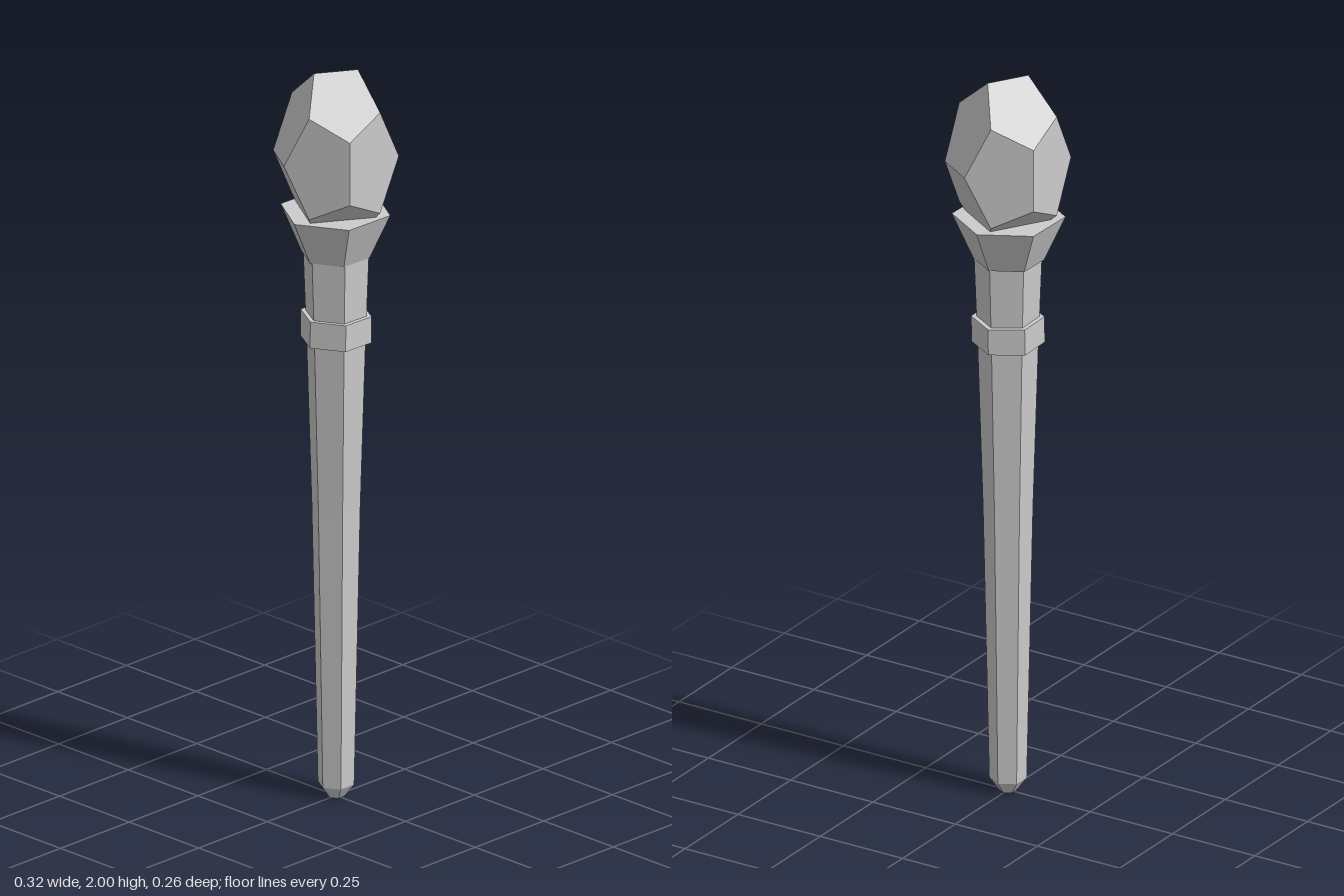
import * as THREE from 'three';

const material = new THREE.MeshStandardMaterial({ color: 0xcccccc, flatShading: true });

// Six-sided closed turned part with corners on +x and -x; profile runs bottom to top
function hexPart(name, profile) {
  const points = profile.map(([r, y]) => new THREE.Vector2(r, y));
  const mesh = new THREE.Mesh(new THREE.LatheGeometry(points, 6, Math.PI / 2), material);
  mesh.name = name;
  return mesh;
}

export function createModel() {
  const group = new THREE.Group();
  group.name = 'scepter';

  // Tapered handle with a blunt chamfered tip, running up into the neck
  const shaft = hexPart('shaft', [
    [0, 0], [0.022, 0], [0.048, 0.035], [0.064, 0.8], [0.078, 1.26], [0.087, 1.5], [0, 1.5],
  ]);

  // Raised ring around the shaft
  const band = hexPart('band', [
    [0, -0.036], [0.094, -0.036], [0.094, 0.036], [0, 0.036],
  ]);
  band.position.y = 1.297;
  band.rotation.z = -0.02;

  // Flared socket holding the gem
  const socket = hexPart('socket', [
    [0, 1.495], [0.091, 1.495], [0.146, 1.618], [0, 1.618],
  ]);
  socket.rotation.y = -0.026;
  socket.position.z = -0.002;

  // Stretched dodecahedron, edge upward
  const gem = new THREE.Mesh(new THREE.DodecahedronGeometry(0.162), material);
  gem.name = 'gem';
  gem.scale.y = 1.487;
  gem.rotation.y = -0.553;
  gem.position.y = 1.775;

  group.add(shaft, band, socket, gem);
  return group;
}
